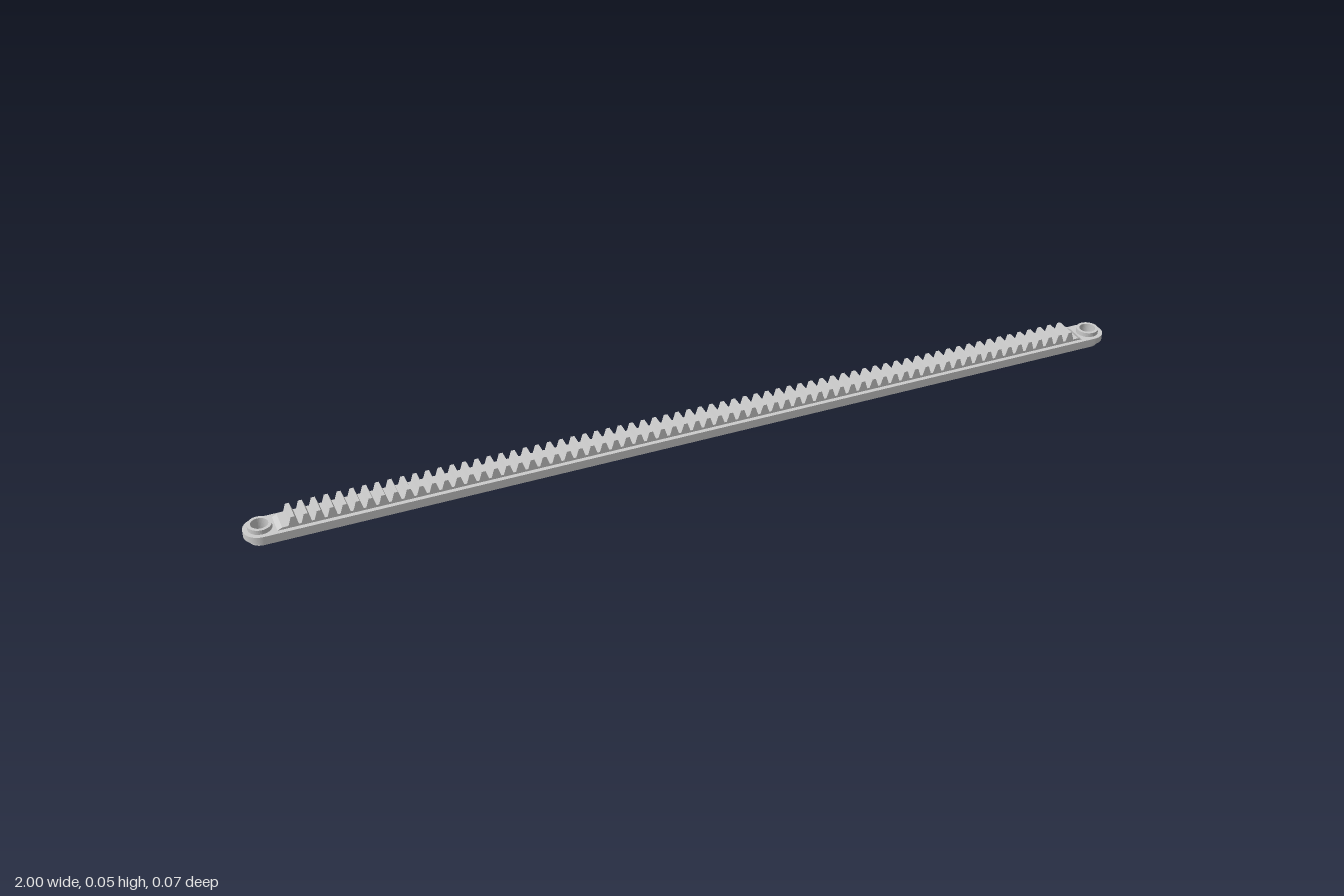
import * as THREE from 'three';

const END = 0.965;     // x of the two end holes
const HOLE_R = 0.018;
const BOSS_R = 0.025;  // also half the width of the narrow layers
const RIM_R = 0.035;

const material = new THREE.MeshStandardMaterial({ color: 0xcccccc });

function circlePath(x, r) {
  const p = new THREE.Path();
  p.absarc(x, 0, r, 0, Math.PI * 2, true);
  return p;
}

// Long bar with round ends, pierced at both ends
function stadium(r) {
  const s = new THREE.Shape();
  s.absarc(END, 0, r, -Math.PI / 2, Math.PI / 2, false);
  s.absarc(-END, 0, r, Math.PI / 2, Math.PI * 1.5, false);
  s.closePath();
  s.holes.push(circlePath(END, HOLE_R), circlePath(-END, HOLE_R));
  return s;
}

// Flat layer lying between two heights
function layer(name, shape, y0, y1) {
  const geo = new THREE.ExtrudeGeometry(shape, { depth: y1 - y0, bevelEnabled: false, curveSegments: 20 });
  geo.rotateX(-Math.PI / 2).translate(0, y0, 0);
  const mesh = new THREE.Mesh(geo, material);
  mesh.name = name;
  return mesh;
}

export function createModel() {
  const group = new THREE.Group();
  group.name = 'gearRack';

  // Lower flange with a row of shallow pockets separated by ribs
  const lower = stadium(BOSS_R);
  const pockets = 44, step = 1.84 / pockets;
  for (let i = 0; i < pockets; i++) {
    const a = -0.92 + i * step + 0.005, b = a + step - 0.01, w = 0.016;
    const p = new THREE.Path();
    p.moveTo(a, -w).lineTo(a, w).lineTo(b, w).lineTo(b, -w).closePath();
    lower.holes.push(p);
  }
  group.add(layer('lowerFlange', lower, 0, 0.012));

  // Wide rim around the middle
  group.add(layer('middleRim', stadium(RIM_R), 0.012, 0.027));

  // Raised collars around the end holes
  for (const side of [-1, 1]) {
    const collar = new THREE.Shape();
    collar.absarc(side * END, 0, BOSS_R, 0, Math.PI * 2, false);
    collar.holes.push(circlePath(side * END, HOLE_R));
    group.add(layer(side > 0 ? 'leftCollar' : 'rightCollar', collar, 0.027, 0.037));
  }

  // Toothed strip: one side profile, extruded across the bar
  const teeth = 69, pitch = 1.83 / teeth, root = 0.032, tip = 0.052;
  const profile = new THREE.Shape();
  profile.moveTo(-0.935, 0.027).lineTo(0.935, 0.027).lineTo(0.925, root);
  for (let i = teeth - 1; i >= 0; i--) {
    const x = (i - (teeth - 1) / 2) * pitch;
    profile.lineTo(x + 0.0105, root).lineTo(x + 0.0075, root + 0.009).lineTo(x + 0.004, tip);
    profile.lineTo(x - 0.004, tip).lineTo(x - 0.0075, root + 0.009).lineTo(x - 0.0105, root);
  }
  profile.lineTo(-0.925, root).closePath();
  const geo = new THREE.ExtrudeGeometry(profile, { depth: BOSS_R * 2, bevelEnabled: false });
  geo.translate(0, 0, -BOSS_R);
  const strip = new THREE.Mesh(geo, material);
  strip.name = 'toothedStrip';
  group.add(strip);

  return group;
}
